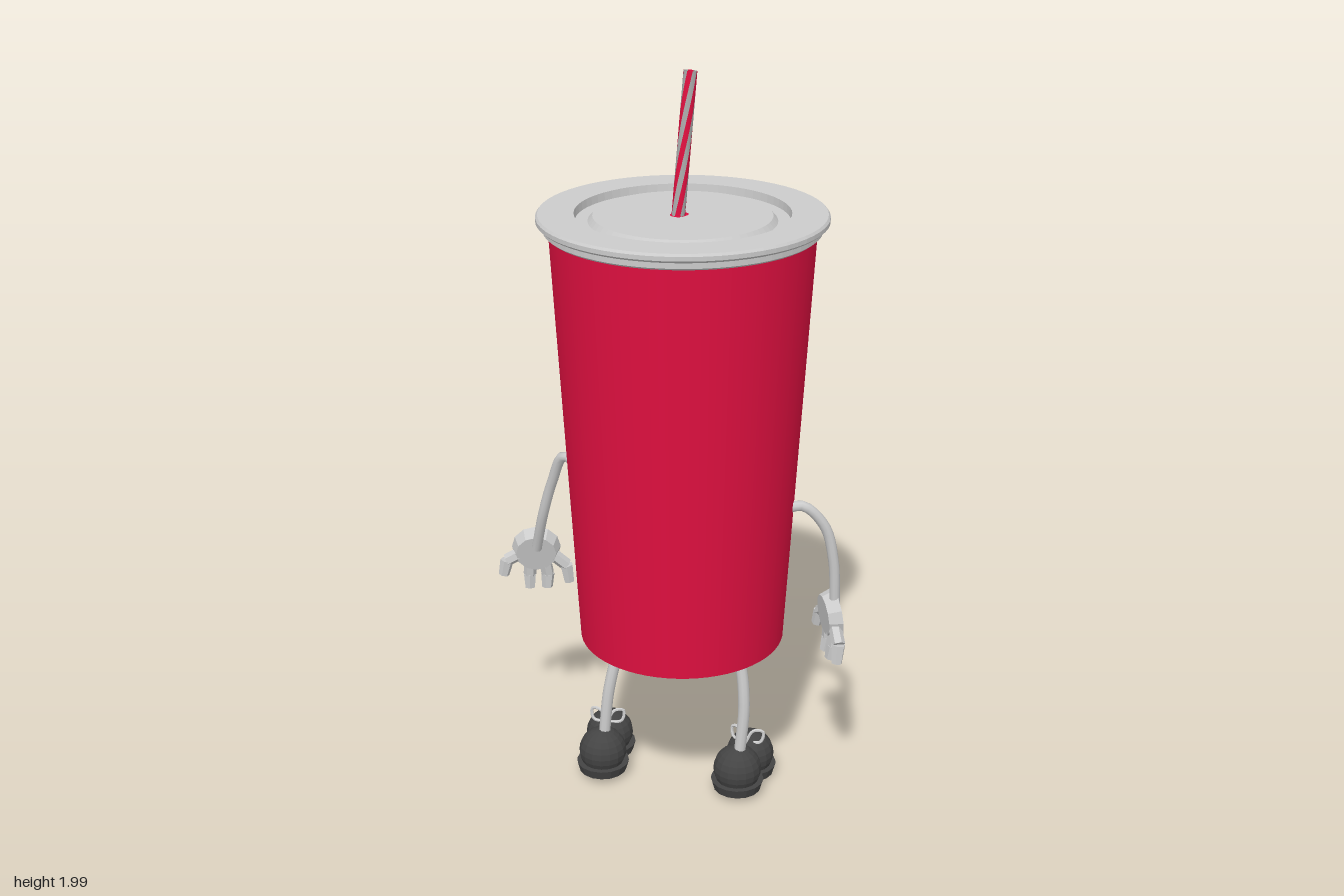
import * as THREE from 'three';

const mat = (color, flatShading = false, side = THREE.FrontSide) =>
  new THREE.MeshStandardMaterial({ color, flatShading, side });
const grey = mat(0xcccccc);
const greyFlat = mat(0xcccccc, true);
const dark = mat(0x444444, true);
const red = mat(0xe01040);
const straw = [mat(0xe01040, false, THREE.DoubleSide), mat(0xaaaaaa, false, THREE.DoubleSide)];

const V = (x, y, z) => new THREE.Vector3(x, y, z);
const CX = 0.065, CZ = 0.02; // axis of the cup

function add(parent, name, geometry, material, x = 0, y = 0, z = 0) {
  const mesh = new THREE.Mesh(geometry, material);
  mesh.name = name;
  mesh.position.set(x, y, z);
  parent.add(mesh);
  return mesh;
}

// Round limb through a few points
function tube(parent, name, points, radius, material, sides = 10) {
  const curve = new THREE.CatmullRomCurve3(points.map((p) => V(...p)));
  return add(parent, name, new THREE.TubeGeometry(curve, 20, radius, sides), material);
}

// Straight six-sided segment between two points
function segment(parent, name, a, b, r0, r1, material) {
  const from = V(...a), to = V(...b), dir = to.clone().sub(from);
  const mesh = add(parent, name, new THREE.CylinderGeometry(r1, r0, dir.length(), 6), material);
  mesh.position.copy(from).add(to).multiplyScalar(0.5);
  mesh.quaternion.setFromUnitVectors(V(0, 1, 0), dir.normalize());
  return mesh;
}

// Gloved hand: flat palm, four bent digits, two ridges on the back (local +z)
function makeHand(name, position, nx, nz, tilt) {
  const hand = new THREE.Group();
  hand.name = name;
  hand.position.set(...position);
  hand.rotation.order = 'YXZ';
  hand.rotation.set(tilt, Math.atan2(nx, nz), 0);
  const palm = add(hand, 'palm', new THREE.CylinderGeometry(0.056, 0.068, 0.036, 12), greyFlat);
  palm.rotation.x = -Math.PI / 2;
  const digits = [
    [[-0.045, -0.015, 0], [-0.083, -0.05, -0.004], [-0.09, -0.1, -0.015]],
    [[-0.024, -0.04, 0], [-0.03, -0.08, -0.004], [-0.028, -0.118, -0.016]],
    [[0.016, -0.04, 0], [0.02, -0.08, -0.004], [0.02, -0.118, -0.016]],
    [[0.045, -0.01, 0], [0.082, -0.03, -0.004], [0.092, -0.072, -0.015]],
  ];
  for (const [a, b, c] of digits) {
    segment(hand, 'fingerBase', a, b, 0.018, 0.018, greyFlat);
    segment(hand, 'fingerTip', b, c, 0.019, 0.015, greyFlat);
  }
  for (const s of [-1, 1]) {
    add(hand, 'gloveRidge', new THREE.BoxGeometry(0.008, 0.034, 0.01), greyFlat, s * 0.018, 0, 0.02);
  }
  return hand;
}

// Shoe: heel and toe balls, each on a wider sole, with a lace bow between
function makeShoe(name, heel, toe) {
  const shoe = new THREE.Group();
  shoe.name = name;
  for (const [part, [x, z], y] of [['heel', heel, 0.087], ['toe', toe, 0.08]]) {
    add(shoe, part, new THREE.SphereGeometry(0.066, 16, 12), dark, x, y, z);
    add(shoe, part + 'Sole', new THREE.CylinderGeometry(0.073, 0.066, 0.026, 16), dark, x, y - 0.045, z);
    add(shoe, part + 'Tread', new THREE.CylinderGeometry(0.045, 0.04, 0.014, 16), dark, x, y - 0.062, z);
  }
  const dir = V(toe[0] - heel[0], 0, toe[1] - heel[1]).normalize();
  const mx = (heel[0] + toe[0]) / 2 + dir.x * 0.01;
  const mz = (heel[1] + toe[1]) / 2 + dir.z * 0.01;
  for (const s of [-1, 1]) {
    const at = (side, y, fwd) => [mx - dir.z * side * s + dir.x * fwd, y, mz + dir.x * side * s + dir.z * fwd];
    tube(shoe, 'laceLoop', [at(0, 0.13, 0), at(0.02, 0.168, 0.01), at(0.045, 0.165, 0.02),
      at(0.04, 0.135, 0.015), at(0, 0.13, 0.01)], 0.0045, greyFlat, 6);
  }
  return shoe;
}

export function createModel() {
  const model = new THREE.Group();
  model.name = 'drinkCupCharacter';

  // Tapered cup
  add(model, 'cup', new THREE.CylinderGeometry(0.335, 0.272, 1.13, 64), red, CX, 1.055, CZ);

  // Lid with rolled rim, ring groove and raised centre; doubled points keep edges crisp
  const profile = [[0.3, 1.608], [0.342, 1.608], [0.348, 1.613], [0.348, 1.628], [0.358, 1.63],
    [0.365, 1.636], [0.365, 1.647], [0.36, 1.653], [0.27, 1.653], [0.268, 1.632],
    [0.236, 1.632], [0.224, 1.646], [0, 1.646]];
  const lidPoints = profile.flatMap(([x, y]) => [new THREE.Vector2(x, y), new THREE.Vector2(x, y)]);
  const lidGeometry = new THREE.LatheGeometry(lidPoints, 64).toNonIndexed();
  lidGeometry.computeVertexNormals();
  add(model, 'lid', lidGeometry, grey, CX, 0, CZ);
  const hole = add(model, 'strawHole', new THREE.CircleGeometry(0.021, 20), red, CX, 1.648, 0.032);
  hole.rotation.x = -Math.PI / 2;
  hole.scale.y = 1.2;

  // Leaning straw of twisted stripes
  const strawGroup = new THREE.Group();
  strawGroup.name = 'straw';
  const stripes = 8, length = 0.43;
  for (let i = 0; i < stripes; i++) {
    const arc = (Math.PI * 2) / stripes;
    const stripe = new THREE.CylinderGeometry(0.017, 0.017, length, 3, 32, true, i * arc, arc);
    const p = stripe.attributes.position;
    for (let k = 0; k < p.count; k++) {
      const v = V(0, 0, 0).fromBufferAttribute(p, k);
      v.applyAxisAngle(V(0, 1, 0), v.y * 9);
      p.setXYZ(k, v.x, v.y, v.z);
    }
    stripe.computeVertexNormals();
    add(strawGroup, 'strawStripe', stripe, straw[i % 2]);
  }
  const strawCore = add(strawGroup, 'strawInside', new THREE.CircleGeometry(0.0165, 16), dark, 0, length / 2 - 0.01, 0);
  strawCore.rotation.x = -Math.PI / 2;
  strawGroup.position.set(CX, 1.785, 0.02);
  strawGroup.rotation.x = -0.11;
  model.add(strawGroup);

  // Eyes with pupils
  const eyes = [[[-0.097, 1.256, -0.333], [-0.113, 1.252, -0.37]],
    [[-0.235, 1.256, -0.237], [-0.264, 1.252, -0.266]]];
  for (const [eye, pupil] of eyes) {
    add(model, 'eye', new THREE.SphereGeometry(0.054, 16, 12), greyFlat, ...eye);
    add(model, 'pupil', new THREE.SphereGeometry(0.023, 12, 8), dark, ...pupil);
  }

  // Eyebrows: bars from outer to inner end, the inner end higher
  const brows = [[[0.018, 1.395, -0.332], [-0.068, 1.43, -0.312]],
    [[-0.287, 1.392, -0.147], [-0.205, 1.452, -0.225]]];
  for (const [outer, inner] of brows) {
    const a = V(...outer), b = V(...inner);
    const brow = add(model, 'eyebrow', new THREE.BoxGeometry(0.03, 0.032, a.distanceTo(b)), dark);
    brow.position.copy(a).add(b).multiplyScalar(0.5);
    brow.lookAt(b);
  }

  // Arms and hands
  tube(model, 'leftArm', [[0.275, 0.865, -0.135], [0.315, 0.88, -0.175], [0.352, 0.82, -0.222],
    [0.368, 0.72, -0.243], [0.37, 0.59, -0.252]], 0.014, grey);
  tube(model, 'rightArm', [[-0.17, 0.94, 0.175], [-0.215, 0.958, 0.19], [-0.262, 0.87, 0.195],
    [-0.3, 0.76, 0.2], [-0.345, 0.64, 0.19]], 0.014, grey);
  model.add(makeHand('leftHand', [0.35, 0.55, -0.256], 0.5, -0.87, -0.1));
  model.add(makeHand('rightHand', [-0.367, 0.622, 0.175], -0.77, -0.64, -0.22));

  // Legs and shoes
  tube(model, 'rightLeg', [[-0.07, 0.51, 0.06], [-0.095, 0.41, 0.1], [-0.107, 0.28, 0.135],
    [-0.113, 0.12, 0.152]], 0.016, grey);
  tube(model, 'leftLeg', [[0.145, 0.51, -0.03], [0.188, 0.42, -0.072], [0.213, 0.29, -0.074],
    [0.213, 0.12, -0.058]], 0.016, grey);
  model.add(makeShoe('rightShoe', [-0.115, 0.155], [-0.187, 0.068]));
  model.add(makeShoe('leftShoe', [0.207, -0.058], [0.163, -0.15]));

  return model;
}
